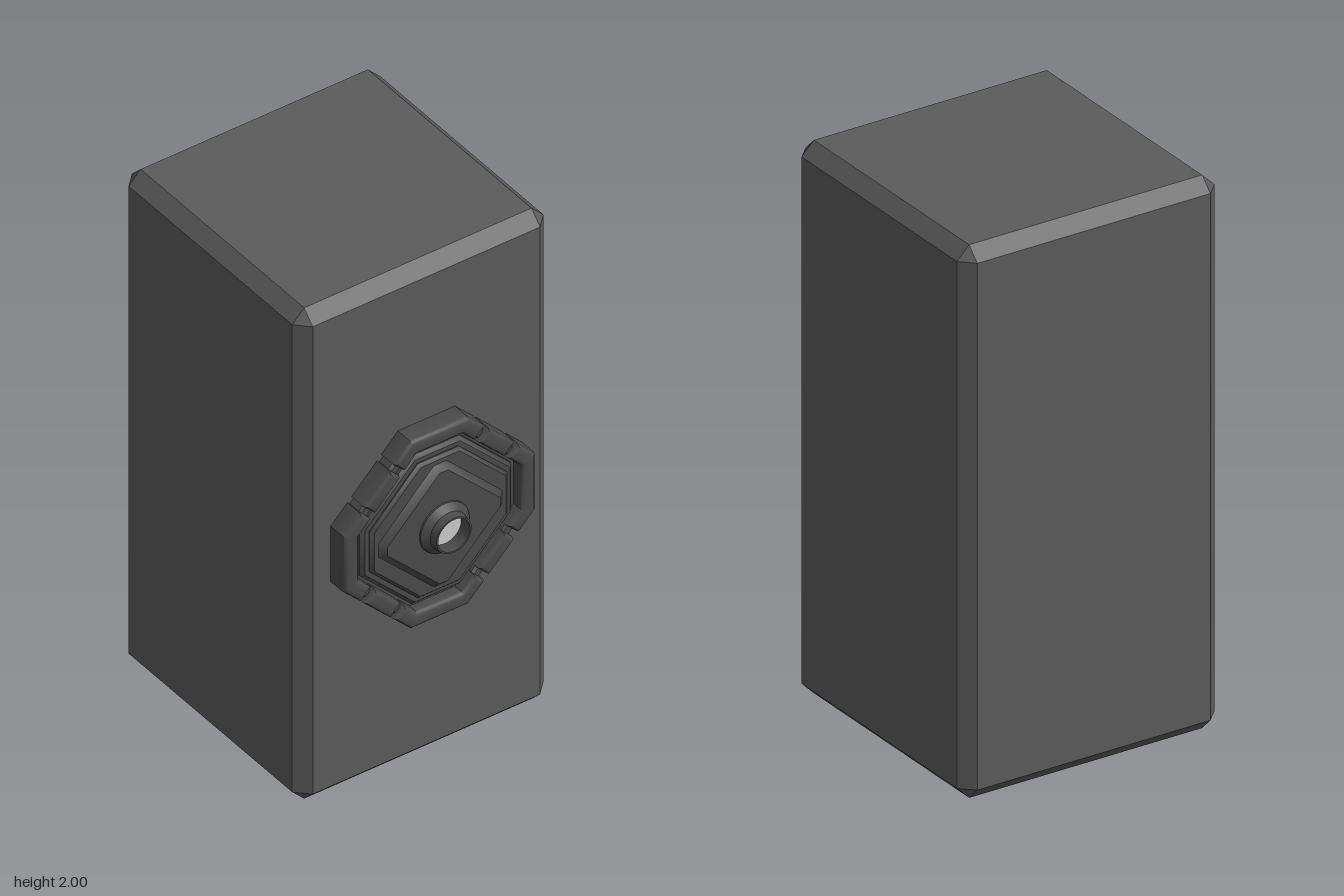
import * as THREE from 'three';
import { toCreasedNormals } from 'three/addons/utils/BufferGeometryUtils.js';
import { ConvexGeometry } from 'three/addons/geometries/ConvexGeometry.js';

const bodyMat = new THREE.MeshStandardMaterial({ color: 0x5b5b5b });
const trimMat = new THREE.MeshStandardMaterial({ color: 0x4a4a4a });
const lightMat = new THREE.MeshStandardMaterial({ color: 0xcccccc });
const R2 = Math.SQRT2;

function add(parent, name, geometry, material) {
  const mesh = new THREE.Mesh(geometry, material);
  mesh.name = name;
  parent.add(mesh);
  return mesh;
}

// Box with every edge and corner cut flat
function chamferBox(w, h, d, c) {
  const pts = [], a = w / 2, b = h / 2, e = d / 2;
  for (const x of [-1, 1]) for (const y of [-1, 1]) for (const z of [-1, 1]) {
    pts.push(
      new THREE.Vector3(x * a, y * (b - c), z * (e - c)),
      new THREE.Vector3(x * (a - c), y * b, z * (e - c)),
      new THREE.Vector3(x * (a - c), y * (b - c), z * e));
  }
  return new ConvexGeometry(pts);
}

// Diamond with cut tips: |x| + |y| <= sum, |x| and |y| <= half
function diamond(half, sum) {
  const k = sum - half;
  return [[k, half], [-k, half], [-half, k], [-half, -k], [-k, -half], [k, -half], [half, -k], [half, k]]
    .map(([x, y]) => new THREE.Vector2(x, y));
}

// Outline extruded along +x between two heights, with a bevelled rim
function plate(points, from, to, bevel, segments = 1, hole = null) {
  const shape = new THREE.Shape(points);
  if (hole) shape.holes.push(new THREE.Path(hole));
  const g = new THREE.ExtrudeGeometry(shape, {
    depth: to - from - 2 * bevel, bevelEnabled: true, bevelThickness: bevel,
    bevelSize: bevel, bevelOffset: -bevel, bevelSegments: segments,
  });
  g.translate(0, 0, from + bevel);
  g.rotateY(Math.PI / 2);
  return toCreasedNormals(g, 0.6);
}

function lathe(profile, segments = 48) {
  const g = new THREE.LatheGeometry(profile.map(([r, y]) => new THREE.Vector2(r, y)), segments);
  return toCreasedNormals(g, 0.4);
}

function createModel() {
  const model = new THREE.Group();
  model.name = 'speakerBox';

  // Main block
  add(model, 'body', chamferBox(0.945, 1.89, 0.945, 0.045), bodyMat).position.set(-0.0725, 1.055, 0);

  // Stepped round foot with a two-stage bore
  const foot = lathe([
    [0.13, 0.112], [0.13, 0.06], [0.205, 0.06], [0.205, 0],
    [0.217, 0], [0.296, 0.045], [0.32, 0.112],
  ]);
  add(model, 'foot', foot, bodyMat).position.x = -0.06;

  const dial = new THREE.Group();
  dial.name = 'sidePanel';
  dial.position.y = 1.05;
  model.add(dial);

  // Low frame filling the gaps between the raised segments
  add(dial, 'frameBase', plate(diamond(0.35, 0.45), 0.37, 0.455, 0.008, 1, diamond(0.305, 0.395)), trimMat);

  // Raised frame: a corner piece and a diagonal bar, repeated four times
  const H = 0.36, S = 0.467, h = 0.305, s = 0.39, gapIn = 0.068, gapOut = 0.09;
  const onEdge = (sum, u) => new THREE.Vector2(sum / 2 - u / R2, sum / 2 + u / R2);
  const flip = (v) => new THREE.Vector2(-v.x, v.y);
  const o = onEdge(S, gapOut), i = onEdge(s, gapOut);
  const corner = [
    o, new THREE.Vector2(S - H, H), new THREE.Vector2(H - S, H), flip(o),
    flip(i), new THREE.Vector2(h - s, h), new THREE.Vector2(s - h, h), i,
  ];
  const bar = [onEdge(S, -gapIn), onEdge(S, gapIn), onEdge(s, gapIn), onEdge(s, -gapIn)];
  const cornerGeo = plate(corner, 0.36, 0.475, 0.016, 3);
  const barGeo = plate(bar, 0.36, 0.475, 0.014, 3);
  for (let n = 0; n < 4; n++) {
    add(dial, 'frameCorner', cornerGeo, trimMat).rotation.x = n * Math.PI / 2;
    add(dial, 'frameBar', barGeo, trimMat).rotation.x = n * Math.PI / 2;
  }

  // Stepped plates rising to the centre
  add(dial, 'floorPlate', plate(diamond(0.33, 0.42), 0.37, 0.43, 0.005), trimMat);
  add(dial, 'outerStep', plate(diamond(0.285, 0.375), 0.38, 0.458, 0.012), trimMat);
  add(dial, 'middleStep', plate(diamond(0.258, 0.335), 0.4, 0.472, 0.01), trimMat);
  add(dial, 'centrePlate', plate(diamond(0.235, 0.26), 0.4, 0.492, 0.022), trimMat);

  // Hollow knob with a light disc inside
  const knob = lathe([
    [0.095, 0.48], [0.092, 0.497], [0.07, 0.517], [0.066, 0.545], [0.06, 0.545], [0.06, 0.495],
  ], 32);
  knob.rotateZ(-Math.PI / 2);
  add(dial, 'knob', knob, trimMat);
  const disc = new THREE.CircleGeometry(0.062, 32);
  disc.rotateY(Math.PI / 2);
  add(dial, 'knobDisc', disc, lightMat).position.x = 0.498;

  return model;
}

export { createModel };
